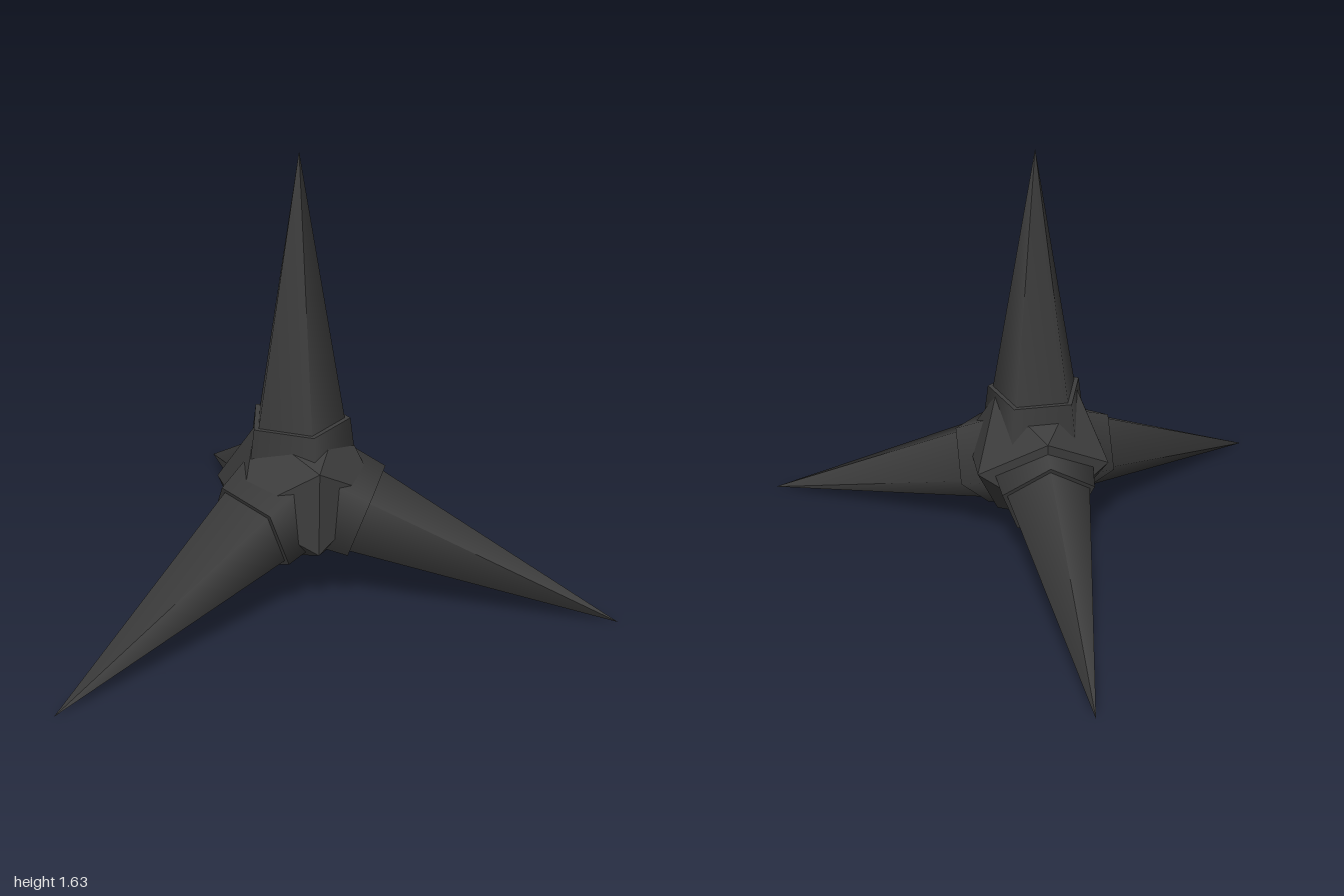
import * as THREE from 'three';

export function createModel() {
  const model = new THREE.Group();
  model.name = 'caltrop';
  const darkIron = new THREE.MeshStandardMaterial({ color: 0x3d3d3d });
  darkIron.name = 'darkIron';
  // flat-faced copy of the same colour for the faceted core
  const core = new THREE.Mesh(new THREE.IcosahedronGeometry(0.295, 0), darkIron);
  core.name = 'core';

  const body = new THREE.Group();
  body.name = 'body';
  body.position.set(0, 0.408, 0.288);
  body.add(core);

  // five-sided spike and collar, measured along +y from the core's centre
  const tip = 1.224, spikeStart = 0.15, collarStart = 0.08, collarEnd = 0.262;
  const spikeRadius = 0.165 * (tip - spikeStart) / (tip - collarEnd);
  const spikeGeometry = new THREE.ConeGeometry(spikeRadius, tip - spikeStart, 5)
    .translate(0, (tip + spikeStart) / 2, 0);
  const collarGeometry = new THREE.CylinderGeometry(0.185, 0.209, collarEnd - collarStart, 5)
    .translate(0, (collarEnd + collarStart) / 2, 0);

  // four arms in tetrahedral directions
  const up = new THREE.Vector3(0, 1, 0);
  const s = Math.sqrt(8) / 3;
  const arms = [
    ['topArm', 0, 1, 0],
    ['backArm', 0, -1 / 3, -s],
    ['leftArm', s * Math.sqrt(0.75), -1 / 3, s / 2],
    ['rightArm', -s * Math.sqrt(0.75), -1 / 3, s / 2],
  ];
  for (const [name, x, y, z] of arms) {
    const arm = new THREE.Group();
    arm.name = name;
    const spike = new THREE.Mesh(spikeGeometry, darkIron);
    spike.name = 'spike';
    const collar = new THREE.Mesh(collarGeometry, darkIron);
    collar.name = 'collar';
    arm.add(spike, collar);
    arm.quaternion.setFromUnitVectors(up, new THREE.Vector3(x, y, z).normalize());
    body.add(arm);
  }

  model.add(body);
  return model;
}
